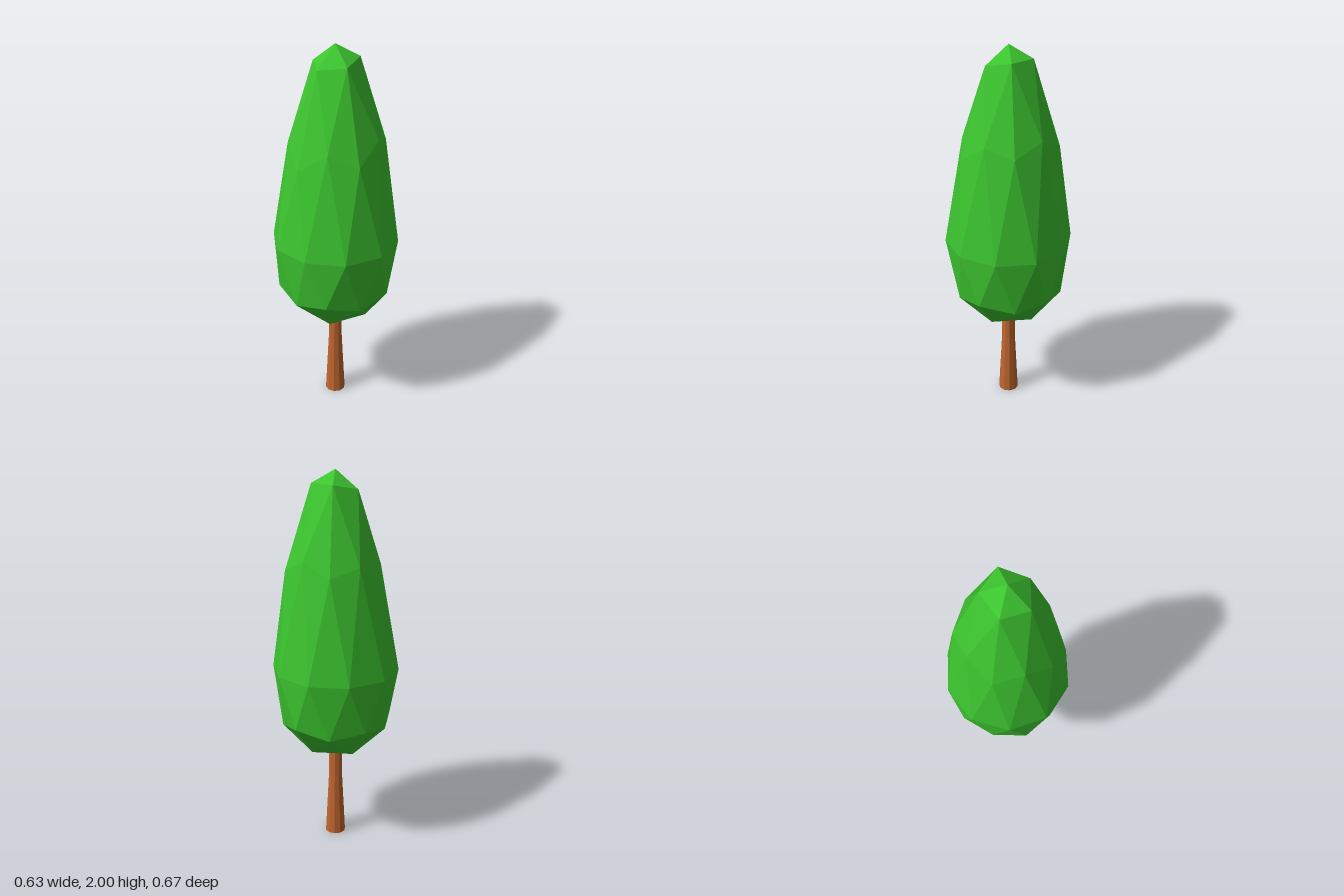
import * as THREE from 'three';

// Unit icosahedron standing on one corner, each face split in four
function uprightIcosphere() {
  const corners = [0, 1, 0];
  const h = 1 / Math.sqrt(5), r = 2 / Math.sqrt(5);
  for (const [y, turn] of [[h, 0], [-h, 0.5]]) {
    for (let k = 0; k < 5; k++) {
      const a = (k + turn) * Math.PI * 0.4;
      corners.push(r * Math.cos(a), y, r * Math.sin(a));
    }
  }
  corners.push(0, -1, 0);
  const faces = [];
  for (let k = 0; k < 5; k++) {
    const n = (k + 1) % 5;
    const u = 1 + k, u2 = 1 + n, l = 6 + k, l2 = 6 + n;
    faces.push(u2, u, 0, u, u2, l, l2, l, u2, l, l2, 11);
  }
  return new THREE.PolyhedronGeometry(corners, faces, 1, 1);
}

// Crown rings: height on the unit sphere, then radius, height and tilt of the crown
const RINGS = [
  [1, 0, 2, 0],
  [0.851, 0.122, 1.915, 0.025],
  [0.526, 0.238, 1.545, 0.03],
  [0.447, 0.258, 1.47, 0.05],
  [0, 0.333, 0.98, 0],
  [-0.447, 0.305, 0.712, 0],
  [-0.526, 0.286, 0.675, 0],
  [-0.851, 0.182, 0.546, 0],
  [-1, 0, 0.503, 0],
];

function crownGeometry() {
  const geo = uprightIcosphere();
  const pos = geo.attributes.position;
  for (let i = 0; i < pos.count; i++) {
    const y = pos.getY(i);
    const a = Math.atan2(pos.getZ(i), pos.getX(i));
    const [, radius, height, tilt] = RINGS.reduce((best, ring) =>
      Math.abs(ring[0] - y) < Math.abs(best[0] - y) ? ring : best);
    pos.setXYZ(i, radius * Math.cos(a),
      height + tilt * Math.cos(a + Math.PI / 5), radius * Math.sin(a));
  }
  geo.computeVertexNormals();
  return geo;
}

// Ten-sided trunk that flares towards the ground, closed at both ends
function trunkGeometry() {
  const profile = [[0, 0], [0.055, 0], [0.037, 0.35], [0.036, 0.56], [0, 0.56]];
  const geo = new THREE.LatheGeometry(profile.map(([x, y]) => new THREE.Vector2(x, y)), 10);
  return geo.rotateY(Math.PI / 2);
}

function part(name, geometry, color) {
  const mesh = new THREE.Mesh(geometry,
    new THREE.MeshStandardMaterial({ color, flatShading: true }));
  mesh.name = name;
  return mesh;
}

export function createModel() {
  const tree = new THREE.Group();
  tree.name = 'tree';
  tree.add(part('crown', crownGeometry(), 0x3cc42f));
  tree.add(part('trunk', trunkGeometry(), 0xc0662f));
  return tree;
}
